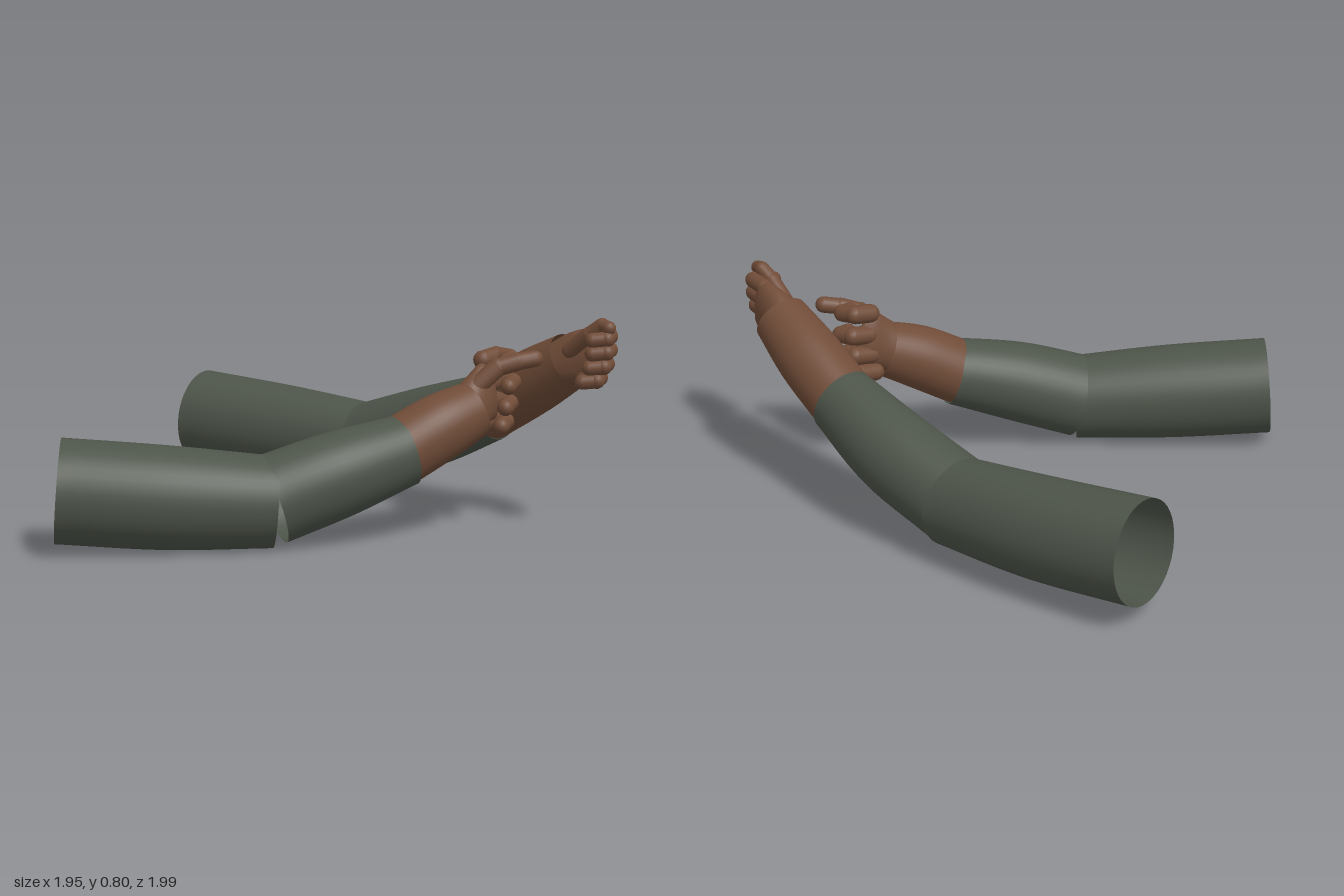
import * as THREE from 'three';

const sleeveMat = new THREE.MeshStandardMaterial({ color: 0x4d5449, side: THREE.DoubleSide });
sleeveMat.name = 'sleeve green';
const skinMat = new THREE.MeshStandardMaterial({ color: 0x704c38, side: THREE.DoubleSide });
skinMat.name = 'brown skin';

const V = (p) => new THREE.Vector3(...p);

// Smooth open tube through stations [x, y, z, upRadius, sideRadius]
function limb(name, mat, stations, rings = 14, sides = 40) {
  const path = new THREE.CatmullRomCurve3(stations.map((s) => V(s.slice(0, 3))));
  const size = new THREE.CatmullRomCurve3(
    stations.map((s, i) => new THREE.Vector3(s[3], s[4] ?? s[3], i * 0.2)));
  const pos = [], idx = [];
  for (let j = 0; j <= rings; j++) {
    const c = path.getPoint(j / rings), r = size.getPoint(j / rings);
    const t = path.getTangent(j / rings);
    const side = new THREE.Vector3().crossVectors(t, new THREE.Vector3(0, 1, 0)).normalize();
    const up = new THREE.Vector3().crossVectors(side, t);
    for (let i = 0; i < sides; i++) {
      const a = (i / sides) * Math.PI * 2;
      const p = c.clone().addScaledVector(up, Math.cos(a) * r.x).addScaledVector(side, Math.sin(a) * r.y);
      pos.push(p.x, p.y, p.z);
      if (j < rings) {
        const k = j * sides + i, n = j * sides + ((i + 1) % sides);
        idx.push(k, n, k + sides, n, n + sides, k + sides);
      }
    }
  }
  const g = new THREE.BufferGeometry();
  g.setAttribute('position', new THREE.Float32BufferAttribute(pos, 3));
  g.setIndex(idx);
  g.computeVertexNormals();
  const m = new THREE.Mesh(g, mat);
  m.name = name;
  return m;
}

// Jointed finger: one rounded segment between each pair of points
function finger(name, points, radius) {
  const group = new THREE.Group();
  group.name = name;
  for (let i = 0; i < points.length - 1; i++) {
    const a = V(points[i]), b = V(points[i + 1]);
    const d = b.clone().sub(a);
    const r = radius * (1 - 0.06 * i);
    const m = new THREE.Mesh(new THREE.CapsuleGeometry(r, d.length(), 5, 14), skinMat);
    m.position.copy(a).lerp(b, 0.5);
    m.quaternion.setFromUnitVectors(new THREE.Vector3(0, 1, 0), d.normalize());
    m.name = name + 'Segment';
    group.add(m);
  }
  return group;
}

// One arm with sleeve, forearm, palm, four curled fingers and a thumb
function arm(name, s) {
  const group = new THREE.Group();
  group.name = name;
  group.add(
    limb('upperSleeve', sleeveMat, s.upper),
    limb('lowerSleeve', sleeveMat, s.lower),
    limb('forearm', skinMat, s.forearm),
    limb('palm', skinMat, s.palm),
    finger('thumb', s.thumb, s.thumbRadius),
  );
  // fingers share one curl, stacked downward by height and shifted in x
  s.heights.forEach((y, i) => {
    const pts = s.curl.map(([x, dy, z]) => [x + s.shift[i], y + dy, z]);
    group.add(finger('finger', pts, s.fingerRadius));
  });
  return group;
}

export function createModel() {
  const model = new THREE.Group();
  model.name = 'arms';

  model.add(arm('frontArm', {
    upper: [[-0.915, 0.232, 0.81, 0.19], [-0.545, 0.201, 0.69, 0.187], [-0.185, 0.177, 0.56, 0.166]],
    lower: [[-0.2, 0.185, 0.56, 0.165], [0.02, 0.265, 0.435, 0.158], [0.235, 0.338, 0.288, 0.132]],
    forearm: [[0.215, 0.332, 0.302, 0.128], [0.35, 0.415, 0.205, 0.124], [0.455, 0.47, 0.115, 0.107]],
    palm: [[0.42, 0.45, 0.145, 0.09, 0.085], [0.465, 0.5, 0.09, 0.1, 0.065],
      [0.495, 0.53, 0.03, 0.115, 0.04], [0.51, 0.54, 0.0, 0.06, 0.01]],
    curl: [[0.485, 0, 0.03], [0.525, 0.01, -0.03], [0.58, 0.005, -0.015], [0.575, -0.005, 0.045]],
    heights: [0.645, 0.555, 0.475, 0.405],
    shift: [-0.01, 0, -0.01, -0.025],
    fingerRadius: 0.036,
    thumb: [[0.46, 0.55, 0.12], [0.54, 0.625, 0.085], [0.61, 0.645, 0.06], [0.67, 0.655, 0.03]],
    thumbRadius: 0.036,
  }));

  model.add(arm('backArm', {
    upper: [[-0.875, 0.268, -0.82, 0.19], [-0.47, 0.235, -0.7, 0.185], [-0.08, 0.212, -0.558, 0.165]],
    lower: [[-0.1, 0.215, -0.56, 0.165], [0.19, 0.315, -0.445, 0.16], [0.455, 0.422, -0.302, 0.132]],
    forearm: [[0.435, 0.412, -0.312, 0.128], [0.625, 0.535, -0.21, 0.126], [0.785, 0.635, -0.112, 0.107]],
    palm: [[0.745, 0.615, -0.135, 0.09, 0.085], [0.82, 0.65, -0.095, 0.1, 0.06],
      [0.885, 0.66, -0.065, 0.1, 0.04], [0.91, 0.662, -0.055, 0.05, 0.01]],
    curl: [[0.87, 0, -0.065], [0.935, 0.005, -0.02], [0.932, 0, 0.035], [0.88, -0.005, 0.045]],
    heights: [0.735, 0.685, 0.632, 0.58],
    shift: [0.005, 0.005, -0.005, -0.03],
    fingerRadius: 0.032,
    thumb: [[0.79, 0.68, -0.05], [0.865, 0.745, -0.01], [0.915, 0.782, 0.005], [0.943, 0.775, 0.03]],
    thumbRadius: 0.03,
  }));

  return model;
}
